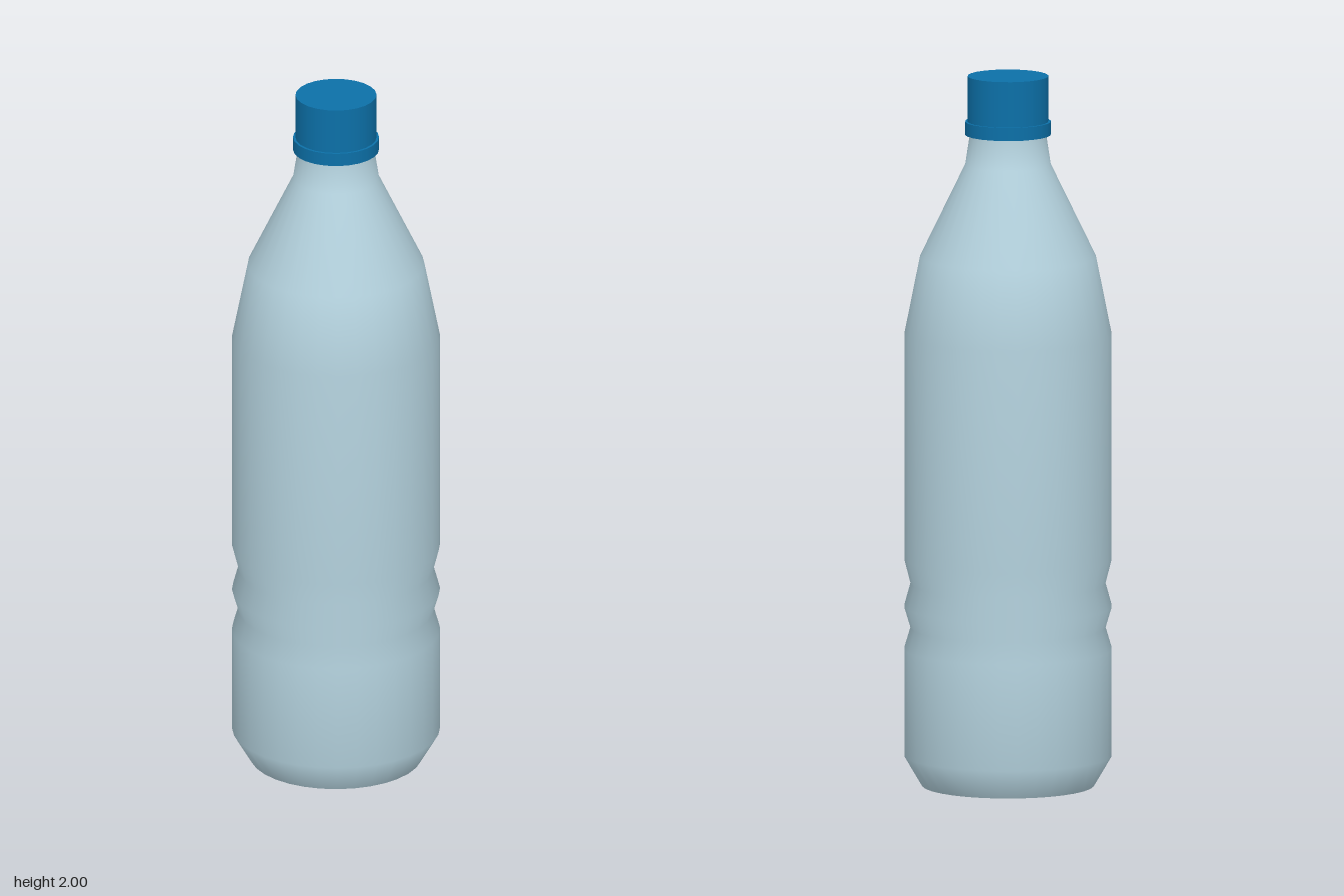
import * as THREE from 'three';

export function createModel() {
  const group = new THREE.Group();
  group.name = 'bottle';

  const plastic = new THREE.MeshStandardMaterial({ color: 0xb4d2de, side: THREE.DoubleSide });
  plastic.name = 'pale blue plastic';
  const capBlue = new THREE.MeshStandardMaterial({ color: 0x0c70a8 });
  capBlue.name = 'cap blue';

  // Bottle wall, open at the base, with two grip grooves
  const profile = [
    [0.24, 0], [0.29, 0.085], [0.29, 0.385], [0.272, 0.445], [0.29, 0.505],
    [0.272, 0.57], [0.29, 0.64], [0.29, 1.27], [0.246, 1.49], [0.12, 1.75],
    [0.106, 1.84], [0.106, 1.9],
  ].map(([r, y]) => new THREE.Vector2(r, y));
  const body = new THREE.Mesh(new THREE.LatheGeometry(profile, 32), plastic);
  body.name = 'bottleBody';
  group.add(body);

  // Cap parts: radius, bottom and top height
  const addDisc = (name, radius, y0, y1) => {
    const mesh = new THREE.Mesh(new THREE.CylinderGeometry(radius, radius, y1 - y0, 24), capBlue);
    mesh.position.y = (y0 + y1) / 2;
    mesh.name = name;
    group.add(mesh);
  };
  addDisc('screwCap', 0.113, 1.868, 2);
  addDisc('capRing', 0.12, 1.835, 1.872);

  return group;
}
